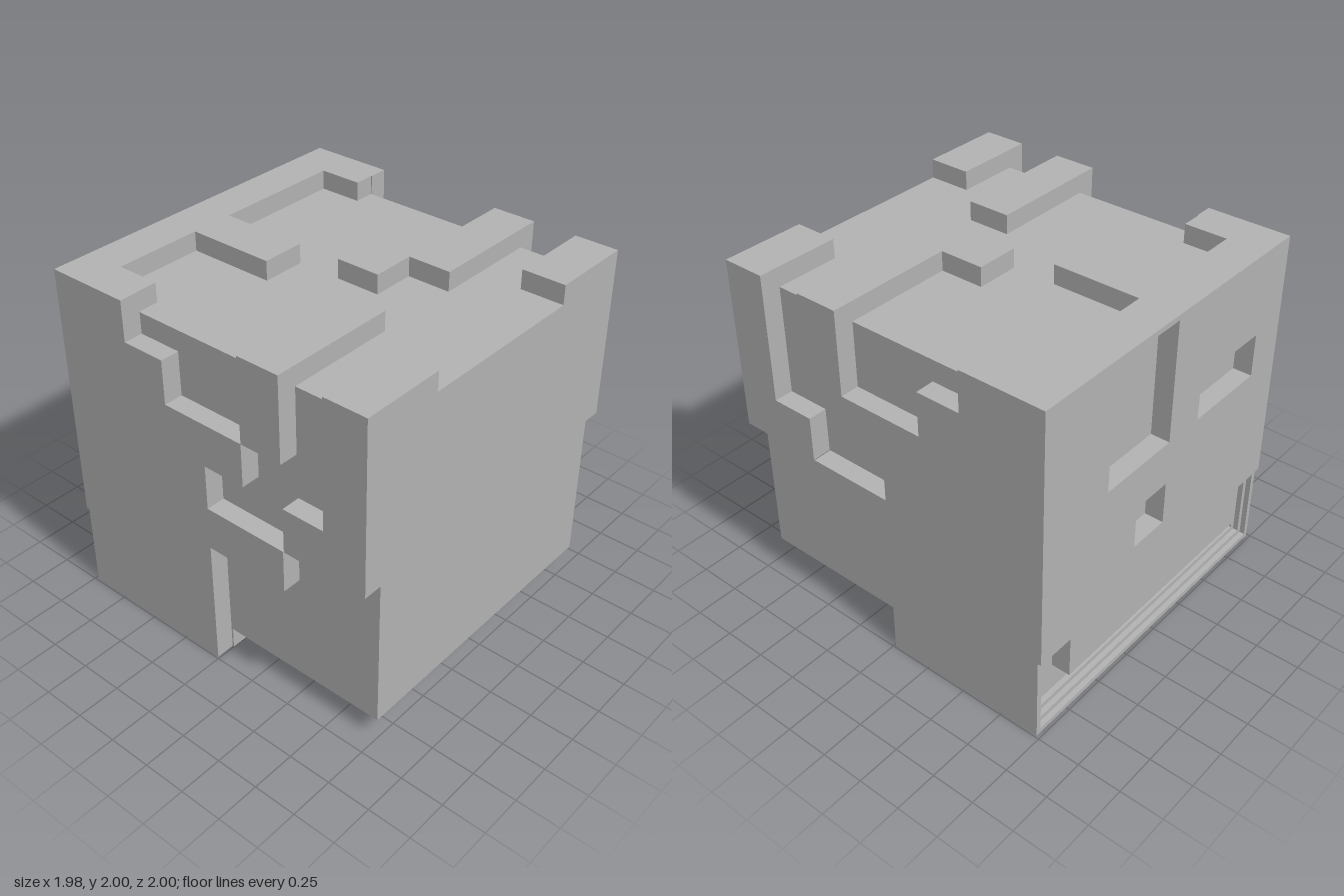
import * as THREE from 'three';

export function createModel() {
  const model = new THREE.Group();
  model.name = 'blockHead';
  const grey = new THREE.MeshStandardMaterial({ color: 0xb2b2b2 });
  grey.name = 'grey';

  // Outer half width, core half width and shell thickness
  const W = 0.99, C = 0.88, T = 0.11;

  const add = (name, geometry) => {
    const mesh = new THREE.Mesh(geometry, grey);
    mesh.name = name;
    model.add(mesh);
  };
  const box = (name, x0, x1, y0, y1, z0, z1) => add(name,
    new THREE.BoxGeometry(x1 - x0, y1 - y0, z1 - z0)
      .translate((x0 + x1) / 2, (y0 + y1) / 2, (z0 + z1) / 2));
  const outline = (points) => points.map(([a, b]) => new THREE.Vector2(a, b));
  const plate = (points, depth, holes = []) => {
    const shape = new THREE.Shape(outline(points));
    for (const hole of holes) shape.holes.push(new THREE.Path(outline(hole)));
    return new THREE.ExtrudeGeometry(shape, { depth, bevelEnabled: false });
  };
  const rect = (a0, a1, b0, b1) => [[a0, b0], [a1, b0], [a1, b1], [a0, b1]];

  // Inner block and the slab beneath it
  box('core', -C, C, 0.13, 1.89, -0.89, 1);
  box('bottomSlab', -C, C, 0, 0.13, -0.89, 0);
  box('bottomTongue', -0.76, 0.76, 0, 0.13, 0, 0.25);

  // Side shells, outlined in (z, y)
  const sides = {
    sideFrontPanel: [[1, 1.01], [1, 2], [0.75, 2], [0.75, 1.27], [0.5, 1.27], [0.5, 1.01]],
    sideBar: rect(0.245, 0.495, 1.52, 2),
    sideBackPanel: [[-1, 2], [-0.515, 2], [-0.515, 1.77], [-0.26, 1.77], [-0.26, 1.52],
      [0.245, 1.52], [0.245, 1.27], [-0.01, 1.27], [-0.01, 1.01], [0.495, 1.01], [0.495, 0.76],
      [-0.01, 0.76], [-0.01, 0], [-0.89, 0], [-0.89, 0.51], [-1, 0.51]],
  };
  for (const [name, points] of Object.entries(sides)) {
    for (const x of [W, -C]) {
      add((x > 0 ? 'left ' : 'right ') + name,
        plate(points, T).rotateY(-Math.PI / 2).translate(x, 0, 0));
    }
  }

  // Raised pieces on top, outlined in (x, z)
  const tops = {
    topBackEdge: [[-C, -0.89], [C, -0.89], [C, -0.52], [0.76, -0.52], [0.76, -0.77], [0, -0.77],
      [0, -0.265], [-0.25, -0.265], [-0.25, -0.77], [-0.76, -0.77], [-0.76, -0.52], [-C, -0.52]],
    topKnob: rect(0, 0.25, -0.01, 0.245),
    topLeftBar: rect(0.25, C, 0.245, 0.495),
    topRightBar: rect(-C, -0.25, 0.245, 0.495),
    topLeftCorner: rect(0.505, C, 0.75, 1),
    topRightCorner: rect(-C, -0.505, 0.75, 1),
  };
  for (const [name, points] of Object.entries(tops)) {
    add(name, plate(points, T).rotateX(Math.PI / 2).translate(0, 2, 0));
  }

  // Back shell with openings
  const back = [[-C, 2], [-C, 0.51], [-0.76, 0.51], [-0.76, 0.26], [0.76, 0.26],
    [0.76, 0.51], [C, 0.51], [C, 2]];
  add('backPanel', plate(back, T, [
    [[0, 1.97], [0, 1.27], [0.505, 1.27], [0.505, 1.52], [0.25, 1.52], [0.25, 1.97]],
    rect(-0.76, -0.25, 1.27, 1.52),
    rect(0, 0.25, 0.76, 1.01),
  ]).translate(0, 0, -1));

  // Thin steps under the top edge of the tall opening
  for (let i = 0; i < 2; i++) {
    box('openingStep', 0, 0.25, 1.94 - 0.03 * i, 1.97 - 0.03 * i, -0.97 + 0.03 * i, -0.89);
  }

  // Nested stepped rim round the lower back
  for (let i = 0; i < 3; i++) {
    const o = W - 0.03 * i, n = o - 0.03, b = 0.03 * i, z = -0.98 + 0.03 * i;
    add('lowerBackRim', plate([[-o, 0.51], [-o, b], [o, b], [o, 0.51],
      [n, 0.51], [n, b + 0.03], [-n, b + 0.03], [-n, 0.51]], -0.89 - z).translate(0, 0, z));
  }

  return model;
}
